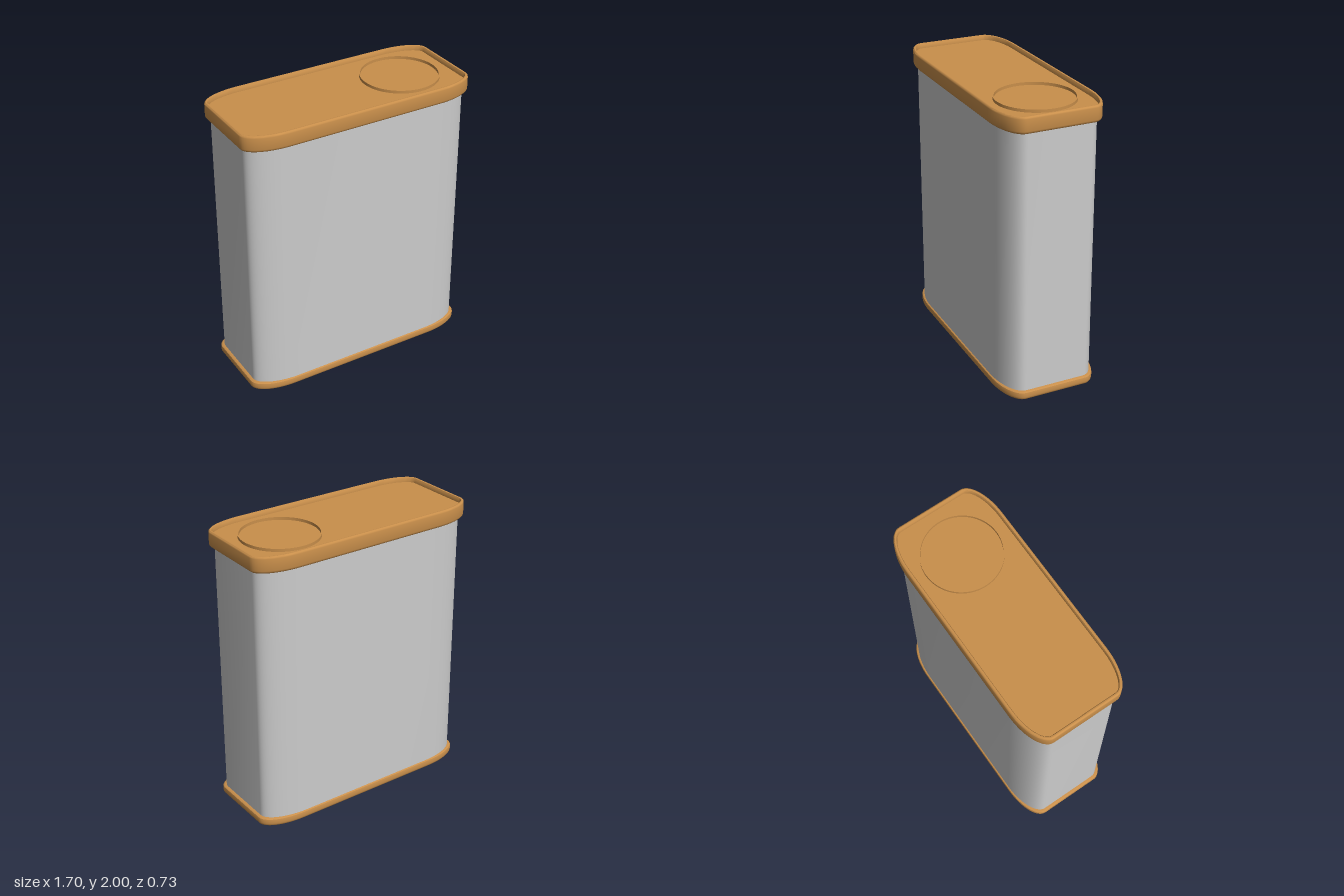
import * as THREE from 'three';
import { toCreasedNormals } from 'three/addons/utils/BufferGeometryUtils.js';

const CORNER_STEPS = 14;

// Closed outline in x/z: a rectangle whose corners are quarter ellipses.
function outline(hx, hz, rx, rz) {
  const points = [];
  [[1, 1], [-1, 1], [-1, -1], [1, -1]].forEach(([sx, sz], q) => {
    for (let i = 0; i <= CORNER_STEPS; i++) {
      const t = (q + i / CORNER_STEPS) * Math.PI / 2;
      points.push([sx * (hx - rx) + rx * Math.cos(t), sz * (hz - rz) + rz * Math.sin(t)]);
    }
  });
  return points;
}

// Lofts the outline through [inset, y] rings; fans close the first and last ring.
function loft(hx, hz, profile, crease = 0.6) {
  const positions = [], index = [];
  const n = 4 * (CORNER_STEPS + 1);
  for (const [inset, y] of profile) {
    for (const [x, z] of outline(hx - inset, hz - inset, 0.29 - inset, 0.13 - inset)) positions.push(x, y, z);
  }
  const last = profile.length - 1;
  positions.push(0, profile[0][1], 0, 0, profile[last][1], 0);
  const bottom = n * profile.length, top = bottom + 1;
  for (let i = 0; i < n; i++) {
    const k = (i + 1) % n;
    for (let j = 0; j < last; j++) {
      const a = j * n + i, b = j * n + k;
      index.push(a, a + n, b, b, a + n, b + n);
    }
    index.push(bottom, i, k, top, last * n + k, last * n + i);
  }
  const geometry = new THREE.BufferGeometry();
  geometry.setAttribute('position', new THREE.Float32BufferAttribute(positions, 3));
  geometry.setIndex(index);
  return toCreasedNormals(geometry, crease);
}

export function createModel() {
  const group = new THREE.Group();
  const grey = new THREE.MeshStandardMaterial({ color: 0xcccccc });
  const copper = new THREE.MeshStandardMaterial({ color: 0xc98f4b });

  const add = (name, geometry, material) => {
    const mesh = new THREE.Mesh(geometry, material);
    mesh.name = name;
    group.add(mesh);
    return mesh;
  };

  // Tin wall
  add('body', loft(0.822, 0.343, [[0, 0.03], [0, 1.92]]), grey);

  // Base tray with rounded edges
  add('base', loft(0.845, 0.353, [
    [0.018, 0], [0.008, 0.004], [0.002, 0.012], [0, 0.022],
    [0, 0.044], [0.002, 0.053], [0.008, 0.058], [0.014, 0.06],
  ]), copper);

  // Lid with a raised rim around a sunken top
  add('lid', loft(0.85, 0.365, [
    [0.02, 1.886], [0.01, 1.889], [0.003, 1.896], [0, 1.906],
    [0, 1.985], [0.002, 1.993], [0.008, 1.999], [0.013, 2],
    [0.02, 1.998], [0.024, 1.992], [0.025, 1.965],
  ]), copper);

  // Thin circular lip of the opening on the lid
  const lip = [[0.27, 1.96], [0.27, 1.985], [0.263, 1.985], [0.263, 1.96]]
    .map(([r, y]) => new THREE.Vector2(r, y));
  const ring = add('openingRing', toCreasedNormals(new THREE.LatheGeometry(lip, 64), 0.6), copper);
  ring.position.set(0.475, 0, -0.005);

  return group;
}
